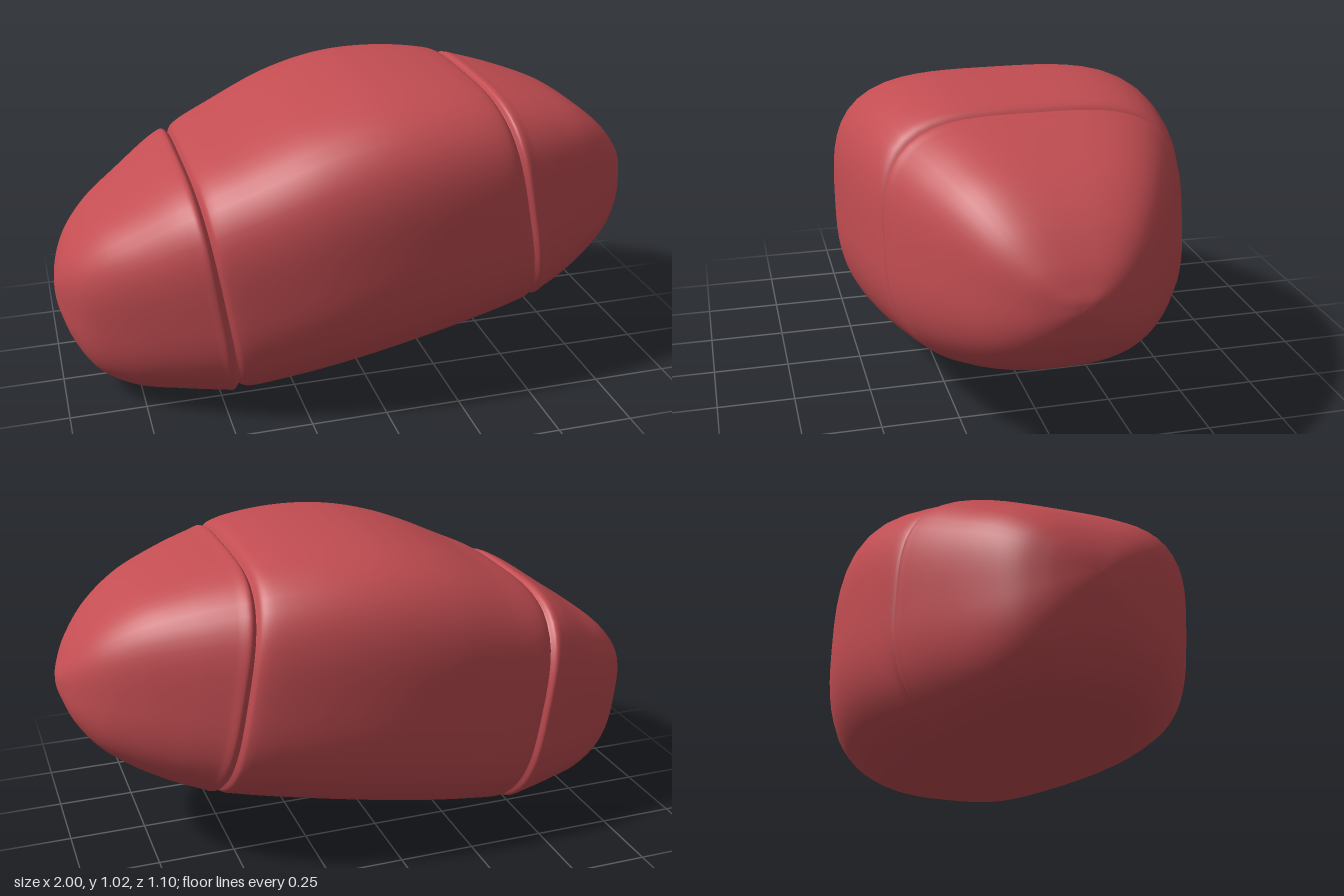
import * as THREE from 'three';
import { mergeVertices } from 'three/addons/utils/BufferGeometryUtils.js';

const SIDES = 72;
const STEPS = 9; // rings between two stations

// Each station is a tilted rounded-square ring: [topX, topY, bottomX, bottomY, halfWidth]
const leftStations = [
  [-1, 0.35, -1, 0.35, 0],
  [-0.998, 0.38, -0.997, 0.315, 0.035],
  [-0.992, 0.415, -0.985, 0.265, 0.08],
  [-0.975, 0.465, -0.95, 0.175, 0.15],
  [-0.94, 0.525, -0.88, 0.08, 0.23],
  [-0.87, 0.6, -0.77, 0.025, 0.305],
  [-0.75, 0.685, -0.62, 0.011, 0.388],
  [-0.62, 0.773, -0.49, 0.004, 0.456],
  [-0.58, 0.788, -0.462, 0.004, 0.47],
  [-0.56, 0.772, -0.445, 0.025, 0.457],
];
const middleStations = [
  [-0.56, 0.772, -0.445, 0.025, 0.457],
  [-0.545, 0.8, -0.42, 0.014, 0.474],
  [-0.4, 0.873, -0.29, 0.034, 0.513],
  [-0.2, 0.96, -0.1, 0.07, 0.544],
  [0, 1.01, 0.1, 0.11, 0.548],
  [0.2, 1.019, 0.32, 0.155, 0.528],
  [0.37, 1.0, 0.5, 0.193, 0.492],
  [0.405, 0.987, 0.55, 0.206, 0.475],
  [0.424, 0.962, 0.562, 0.222, 0.457],
];
const rightStations = [
  [0.424, 0.962, 0.562, 0.222, 0.457],
  [0.437, 0.98, 0.582, 0.213, 0.47],
  [0.48, 0.972, 0.61, 0.221, 0.452],
  [0.6, 0.938, 0.7, 0.255, 0.4],
  [0.75, 0.88, 0.81, 0.312, 0.323],
  [0.87, 0.795, 0.9, 0.38, 0.24],
  [0.95, 0.7, 0.96, 0.46, 0.15],
  [0.985, 0.635, 0.985, 0.518, 0.08],
  [0.997, 0.605, 0.997, 0.555, 0.035],
  [1, 0.58, 1, 0.58, 0],
];

// Lofts a smooth skin through the stations, which run towards +x
function loft(stations) {
  const top = new THREE.CatmullRomCurve3(stations.map((s) => new THREE.Vector3(s[0], s[1], s[4])));
  const bottom = new THREE.CatmullRomCurve3(stations.map((s) => new THREE.Vector3(s[2], s[3], 0)));
  const rings = (stations.length - 1) * STEPS;
  const positions = [];
  const indices = [];
  for (let i = 0; i <= rings; i++) {
    const t = top.getPoint(i / rings);
    const b = bottom.getPoint(i / rings);
    for (let j = 0; j < SIDES; j++) {
      const angle = (j / SIDES) * Math.PI * 2;
      const c = Math.cos(angle);
      const s = Math.sin(angle);
      const n = s > 0 ? 3.6 : 2.7; // squarer above, rounder below
      const r = Math.pow(Math.abs(c) ** n + Math.abs(s) ** n, -1 / n);
      const k = (1 + s * r) / 2;
      positions.push(b.x + (t.x - b.x) * k, b.y + (t.y - b.y) * k, c * r * t.z);
      if (i < rings) {
        const next = (j + 1) % SIDES;
        const p = i * SIDES + j;
        const q = i * SIDES + next;
        indices.push(p, p + SIDES, q + SIDES, p, q + SIDES, q);
      }
    }
  }
  const geometry = new THREE.BufferGeometry();
  geometry.setAttribute('position', new THREE.Float32BufferAttribute(positions, 3));
  geometry.setIndex(indices);
  const merged = mergeVertices(geometry, 1e-5);
  merged.computeVertexNormals();
  return merged;
}

export function createModel() {
  const group = new THREE.Group();
  group.name = 'segmentedCapsule';
  const red = new THREE.MeshStandardMaterial({ color: 0xc24d52 });
  red.name = 'softRed';

  // Two end caps and the middle band, meeting in narrow grooves
  const parts = { lowerEndCap: leftStations, middleBody: middleStations, upperEndCap: rightStations };
  for (const [name, stations] of Object.entries(parts)) {
    const mesh = new THREE.Mesh(loft(stations), red);
    mesh.name = name;
    group.add(mesh);
  }
  return group;
}
